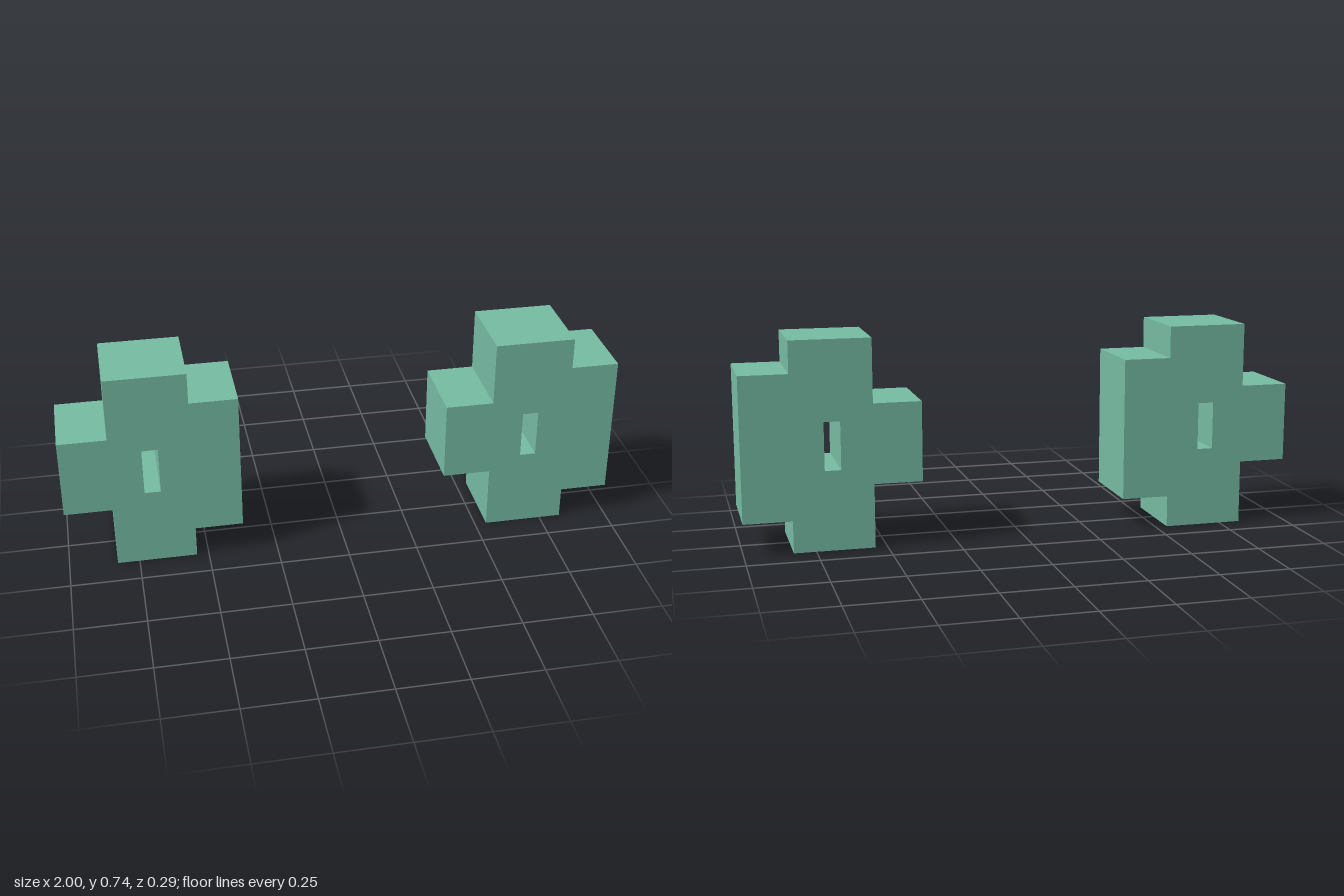
import * as THREE from 'three';

// All sizes are whole multiples of one module unit.
const U = 1 / 35;
const DEPTH = 10 * U;
const SPACING = 24 * U;

const toPoints = (pairs) => pairs.map(([x, y]) => new THREE.Vector2(x * U, y * U));

// Cross-shaped block with a tall right arm, a short left arm and a slot through it.
function blockGeometry() {
  const outline = new THREE.Shape(toPoints([
    [-5, 0], [5, 0], [5, 4], [11, 4], [11, 22], [5, 22],
    [5, 26], [-5, 26], [-5, 18], [-11, 18], [-11, 8], [-5, 8],
  ]));
  outline.holes.push(new THREE.Path(toPoints([[-1, 10], [-1, 16], [1, 16], [1, 10]])));
  const geometry = new THREE.ExtrudeGeometry(outline, { depth: DEPTH, bevelEnabled: false });
  return geometry.translate(0, 0, -DEPTH / 2);
}

export function createModel() {
  const model = new THREE.Group();
  model.name = 'blockPair';
  const material = new THREE.MeshStandardMaterial({ color: 0x76bba3 });
  const geometry = blockGeometry();

  // Two identical blocks side by side, both facing the same way.
  for (const [name, side] of [['leftBlock', 1], ['rightBlock', -1]]) {
    const block = new THREE.Mesh(geometry, material);
    block.name = name;
    block.position.x = side * SPACING;
    model.add(block);
  }
  return model;
}
